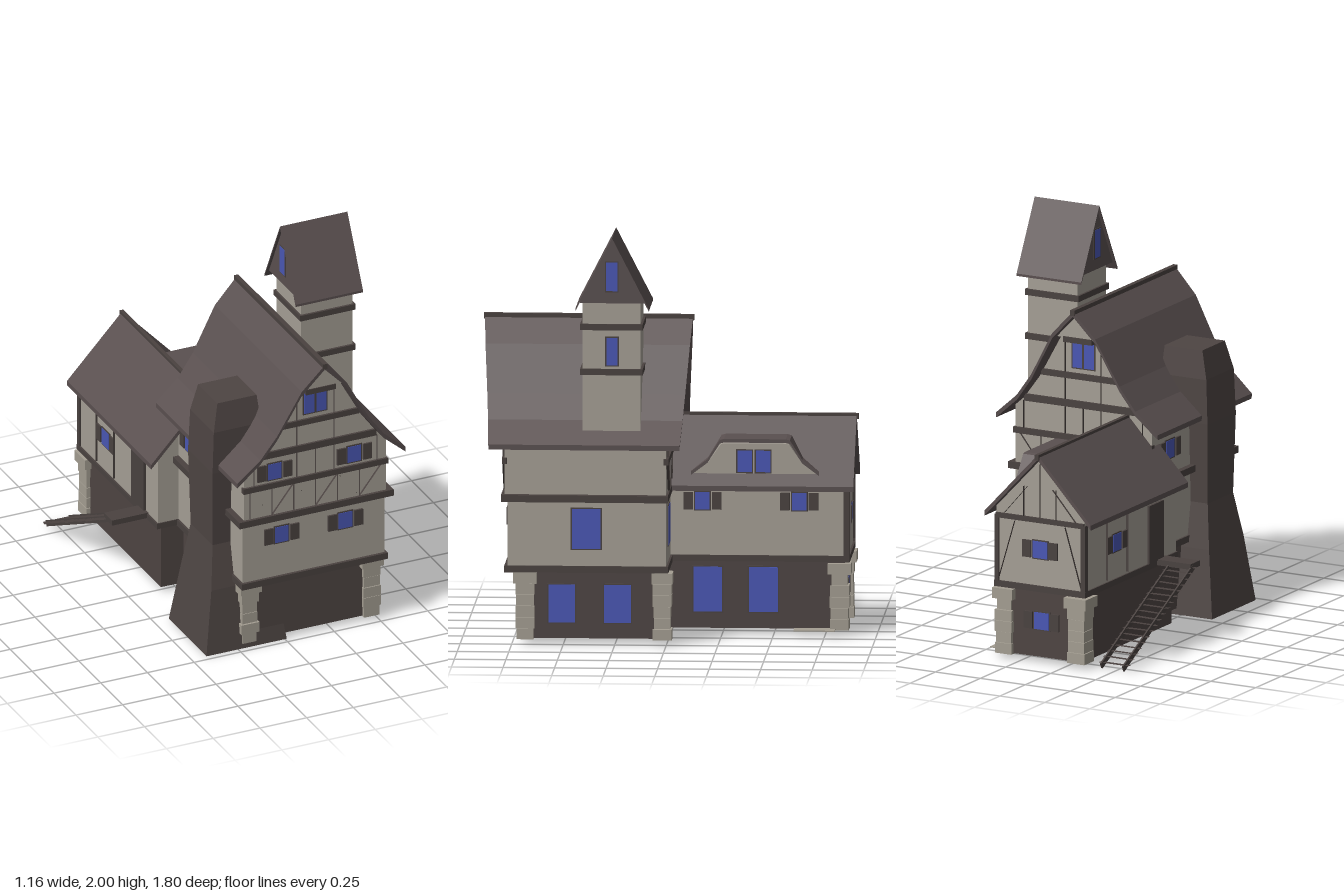
import * as THREE from 'three';

const mat = (name, color, side = THREE.FrontSide) => {
  const m = new THREE.MeshStandardMaterial({ color, side });
  m.name = name;
  return m;
};
const plaster = mat('plaster', 0xa59f95);
const wood = mat('dark wood', 0x4a4240, THREE.DoubleSide);
const roofing = mat('roof shingles', 0x5a5050);
const masonry = mat('dark masonry', 0x4e4543, THREE.DoubleSide);
const stone = mat('corner stone', 0xa49e92);
const glass = mat('blue glass', 0x4a57b4);

const MID = 0.13; // x of the main ridge
const TURN = { front: 0, right: Math.PI / 2, back: Math.PI, left: -Math.PI / 2 };

export function createModel() {
  const root = new THREE.Group();
  root.name = 'timberHouse';
  let seed = 7;
  const rnd = () => (seed = (seed * 16807) % 2147483647) / 2147483647;

  const add = (name, geo, m, parent = root) => {
    const mesh = new THREE.Mesh(geo, m);
    mesh.name = name;
    parent.add(mesh);
    return mesh;
  };
  // Box given by its limits
  const block = (name, m, x0, x1, y0, y1, z0, z1) => {
    const b = add(name, new THREE.BoxGeometry(x1 - x0, y1 - y0, z1 - z0), m);
    b.position.set((x0 + x1) / 2, (y0 + y1) / 2, (z0 + z1) / 2);
    return b;
  };
  // Takes the bottom face off a box
  const openBottom = geo => {
    const { start, count } = geo.groups[3];
    geo.setIndex([...geo.index.array].filter((_, i) => i < start || i >= start + count));
    geo.clearGroups();
    return geo;
  };
  const prism = (pts, z0, z1) => new THREE.ExtrudeGeometry(
    new THREE.Shape(pts.map(p => new THREE.Vector2(...p))), { depth: z1 - z0, bevelEnabled: false }).translate(0, 0, z0);
  // Symmetric outline from half-width/height pairs, listed from the ridge down
  const mirror = (c, half) => [...half.map(([w, y]) => [c - w, y]).reverse(),
    ...half.filter(([w]) => w > 0).map(([w, y]) => [c + w, y])].reverse();
  // Roof skin: the outline closed by a copy of itself set lower
  const skin = (c, half, t) => {
    const top = mirror(c, half);
    return [...top, ...top.map(([x, y]) => [x, y - t]).reverse()];
  };
  // Group on a wall: t runs along the wall, plane is the wall's coordinate
  const onWall = (name, face, t, y, plane) => {
    const g = new THREE.Group();
    g.name = name;
    if (face === 'front' || face === 'back') g.position.set(t, y, plane);
    else g.position.set(plane, y, t);
    g.rotation.y = TURN[face];
    root.add(g);
    return g;
  };
  const windowAt = (face, t, y, plane, w, h, shutters = false) => {
    const g = onWall('window', face, t, y, plane);
    add('windowFrame', new THREE.BoxGeometry(w + 0.012, h + 0.012, 0.006), wood, g);
    add('windowGlass', new THREE.BoxGeometry(w, h, 0.006), glass, g).position.z = 0.002;
    if (shutters) for (const s of [-1, 1])
      add('shutter', new THREE.BoxGeometry(0.046, h, 0.016), wood, g).position.x = s * (w / 2 + 0.034);
  };
  // Slim board standing out of the wall between two wall points
  const brace = (face, t0, y0, t1, y1, plane) => {
    const g = onWall('timberBrace', face, (t0 + t1) / 2, (y0 + y1) / 2, plane);
    const s = face === 'back' || face === 'right' ? -1 : 1;
    const dx = s * (t1 - t0), dy = y1 - y0;
    add('brace', new THREE.PlaneGeometry(Math.hypot(dx, dy), 0.024).rotateX(Math.PI / 2), wood, g)
      .rotation.z = Math.atan2(dy, dx);
  };

  // Main house floors
  openBottom(block('groundFloor', masonry, -0.22, 0.485, 0.03, 0.369, 0.01, 0.71).geometry);
  block('secondFloor', plaster, -0.25, 0.51, 0.37, 0.73, 0, 0.77);
  const gable = [[0, 1.533], [0.12, 1.408], [0.245, 1.183], [0.33, 1.068], [0.38, 1.024], [0.38, 0.73]];
  add('upperFloorAndGable', prism(mirror(MID, gable), 0, 0.785), plaster);
  block('lowerBeam', wood, -0.26, 0.52, 0.355, 0.388, -0.01, 0.785);
  block('upperBeam', wood, -0.28, 0.545, 0.703, 0.737, -0.01, 0.8);
  for (const [y, w, h] of [[0.9, 0.387, 0.03], [1.07, 0.325, 0.035], [1.21, 0.232, 0.03], [1.41, 0.115, 0.026]])
    for (const z of [0.785, 0])
      block('gableBeam', wood, MID - w, MID + w, y - h / 2, y + h / 2, z - 0.012, z + 0.012);
  // Hooded gable tips
  const tip = mirror(MID, [[0, 1.533], [0.115, 1.413]]);
  add('frontGableTip', prism(tip, 0.78, 0.85), plaster);
  add('backGableTip', prism(tip, -0.06, 0), plaster);
  for (const z of [0.835, -0.045]) block('gableTipBeam', wood, 0.05, 0.21, 1.39, 1.418, z - 0.02, z + 0.02);
  // Braces on both gable walls
  for (const [face, z] of [['front', 0.785], ['back', 0]]) {
    for (let i = 0; i < 6; i++) {
      const x = -0.22 + i * 0.117;
      brace(face, x, 0.74, x, 0.89, z);
      brace(face, x, i % 2 ? 0.74 : 0.89, x + 0.117, i % 2 ? 0.89 : 0.74, z);
    }
    for (const x of [-0.2, 0.03, 0.13, 0.23, 0.46]) brace(face, x, 0.91, x, 1.055, z);
    for (const x of [0.03, 0.23]) brace(face, x, 1.085, x, 1.39, z);
  }

  // Main roof, longer at the ridge than at the eaves
  const slope = [[0, 1.56], [0.12, 1.435], [0.245, 1.21], [0.33, 1.095], [0.45, 0.99]];
  const mainRoof = prism(skin(MID, slope, 0.025), -1, 1);
  const p = mainRoof.attributes.position;
  for (let i = 0; i < p.count; i++)
    p.setZ(i, 0.395 + p.getZ(i) * (0.463 + 0.042 * (p.getY(i) - 0.97) / 0.59));
  mainRoof.computeVertexNormals();
  add('mainRoof', mainRoof, roofing);
  block('mainRidgeBeam', wood, 0.118, 0.142, 1.54, 1.568, -0.115, 0.905);

  // Rear wing
  openBottom(block('wingGroundFloor', masonry, -0.34, 0.115, 0.03, 0.369, -0.845, 0.03).geometry);
  add('wingUpperFloor', prism(mirror(-0.115, [[0, 1.021], [0.245, 0.761], [0.245, 0.37]]), -0.86, 0.04), plaster);
  block('wingLowerBeam', wood, -0.368, 0.138, 0.36, 0.39, -0.87, 0.045);
  add('wingRoof', prism(skin(-0.115, [[0, 1.05], [0.296, 0.735]], 0.025), -0.89, 0.07), roofing);
  block('wingRidgeBeam', wood, -0.125, -0.105, 1.025, 1.053, -0.9, 0.0);
  for (const x of [-0.355, 0.125]) block('wingCornerPost', wood, x - 0.012, x + 0.012, 0.38, 0.72, -0.87, -0.84);
  block('wingGableBeam', wood, -0.36, 0.13, 0.705, 0.73, -0.87, -0.85);
  for (const s of [-1, 1]) {
    brace('back', -0.115 + s * 0.23, 0.4, -0.115 + s * 0.14, 0.7, -0.86);
    brace('back', -0.115 + s * 0.2, 0.73, -0.115 + s * 0.07, 0.88, -0.86);
    brace('back', -0.115 + s * 0.09, 0.73, -0.115 + s * 0.09, 0.88, -0.86);
  }
  brace('back', -0.115, 0.73, -0.115, 1.0, -0.86);
  for (const z of [-0.45, -0.65]) brace('left', z, 0.4, z, 0.7, -0.36);
  block('wingDoor', wood, -0.372, -0.35, 0.39, 0.68, -0.24, -0.1);
  block('backDoor', wood, 0.2, 0.36, 0.04, 0.33, 0.0, 0.02);
  block('doorStep', stone, 0.115, 0.2, 0.028, 0.033, -0.8, -0.6);

  // Dormer on the right slope of the wing
  const dormer = onWall('dormer', 'right', -0.41, 0, 0);
  add('dormerWall', prism(mirror(0, [[0.15, 0.937], [0.165, 0.933], [0.23, 0.84], [0.3, 0.79], [0.3, 0.78]]), -0.05, 0.13), plaster, dormer);
  add('dormerRoof', prism(skin(0, [[0.15, 0.96], [0.17, 0.955], [0.23, 0.86], [0.31, 0.8]], 0.018), -0.06, 0.14), roofing, dormer);
  for (const z of [-0.36, -0.45]) windowAt('right', z, 0.85, 0.131, 0.07, 0.105);

  // Tower with its steep roof
  block('towerShaft', plaster, 0.235, 0.51, 1.0, 1.68, 0.125, 0.405);
  for (const y of [1.34, 1.56]) block('towerBeam', wood, 0.224, 0.521, y - 0.015, y + 0.015, 0.113, 0.417);
  const cap = onWall('towerRoof', 'right', 0.26, 0, 0);
  add('towerGable', prism(mirror(0, [[0, 1.99], [0.158, 1.68]]), 0.205, 0.535), roofing, cap);
  add('towerRoofSlopes', prism(skin(0, [[0, 2.0], [0.178, 1.655]], 0.012), 0.19, 0.55), roofing, cap);
  windowAt('right', 0.262, 1.44, 0.51, 0.055, 0.135);
  windowAt('right', 0.262, 1.81, 0.536, 0.055, 0.14);
  windowAt('left', 0.262, 1.81, 0.204, 0.055, 0.14);

  // Flared chimney stack on the left: y, x limits, z limits
  const rings = [[0, -0.42, 0.01, 0.29, 0.72], [0.33, -0.375, -0.04, 0.34, 0.68], [0.55, -0.345, -0.05, 0.38, 0.63],
    [0.95, -0.352, -0.08, 0.365, 0.645], [1.17, -0.343, -0.09, 0.37, 0.64], [1.31, -0.31, -0.1, 0.39, 0.61]];
  const stack = openBottom(new THREE.BoxGeometry(1, 1, 1, 1, rings.length - 1, 1)).toNonIndexed();
  const s = stack.attributes.position;
  for (let i = 0; i < s.count; i++) {
    const r = rings[Math.round((s.getY(i) + 0.5) * (rings.length - 1))];
    s.setXYZ(i, s.getX(i) < 0 ? r[1] : r[2], r[0], s.getZ(i) < 0 ? r[3] : r[4]);
  }
  stack.computeVertexNormals();
  add('chimney', stack, masonry);

  // Stacked corner stones
  for (const [x, z] of [[-0.19, 0.685], [0.462, 0.685], [0.462, 0.02], [0.09, -0.82], [-0.315, -0.82]])
    for (let i = 0; i < 6; i++) {
      const w = (i === 5 ? 0.05 : 0.037) + rnd() * 0.012;
      block('cornerStone', stone, x - w, x + w, 0.025 + i * 0.055, 0.078 + i * 0.055, z - w, z + w);
    }

  // Windows: front, back, right, left
  for (const x of [-0.088, 0.338]) windowAt('front', x, 0.975, 0.787, 0.072, 0.085, true);
  for (const x of [-0.043, 0.298]) windowAt('front', x, 0.613, 0.772, 0.072, 0.085, true);
  for (const x of [0.097, 0.163]) {
    windowAt('front', x, 1.315, 0.787, 0.054, 0.125);
    windowAt('back', x, 1.315, -0.002, 0.054, 0.125);
  }
  windowAt('back', 0.33, 0.57, -0.002, 0.14, 0.19);
  windowAt('back', -0.115, 0.57, -0.862, 0.08, 0.085, true);
  windowAt('back', -0.115, 0.21, -0.847, 0.08, 0.085, true);
  windowAt('right', 0.387, 0.57, 0.512, 0.14, 0.195);
  for (const z of [0.507, 0.237]) windowAt('right', z, 0.2, 0.487, 0.13, 0.185);
  for (const z of [-0.18, -0.45]) windowAt('right', z, 0.22, 0.117, 0.14, 0.22);
  for (const z of [-0.155, -0.625]) windowAt('right', z, 0.655, 0.132, 0.07, 0.085, true);
  windowAt('left', -0.55, 0.57, -0.362, 0.08, 0.085, true);
  windowAt('left', 0.17, 0.86, -0.252, 0.08, 0.09, true);

  // Outside stair down the left wall of the wing
  block('stairLanding', wood, -0.555, -0.36, 0.367, 0.395, -0.16, -0.07);
  const run = 0.7, rise = 0.36;
  for (const x of [-0.552, -0.43]) {
    const rail = add('stairRail', new THREE.BoxGeometry(0.008, 0.03, Math.hypot(run, rise)), wood);
    rail.position.set(x, 0.2, -0.47);
    rail.rotation.x = -Math.atan2(rise, run);
  }
  for (let i = 0; i < 18; i++) {
    const k = (i + 0.5) / 18;
    const tread = add('stairTread', new THREE.PlaneGeometry(0.165, 0.02 + rnd() * 0.008), wood);
    tread.rotation.set(-Math.PI / 2, 0, (rnd() - 0.5) * 0.14);
    tread.position.set(-0.495, 0.385 - k * rise, -0.12 - k * run);
  }
  return root;
}
